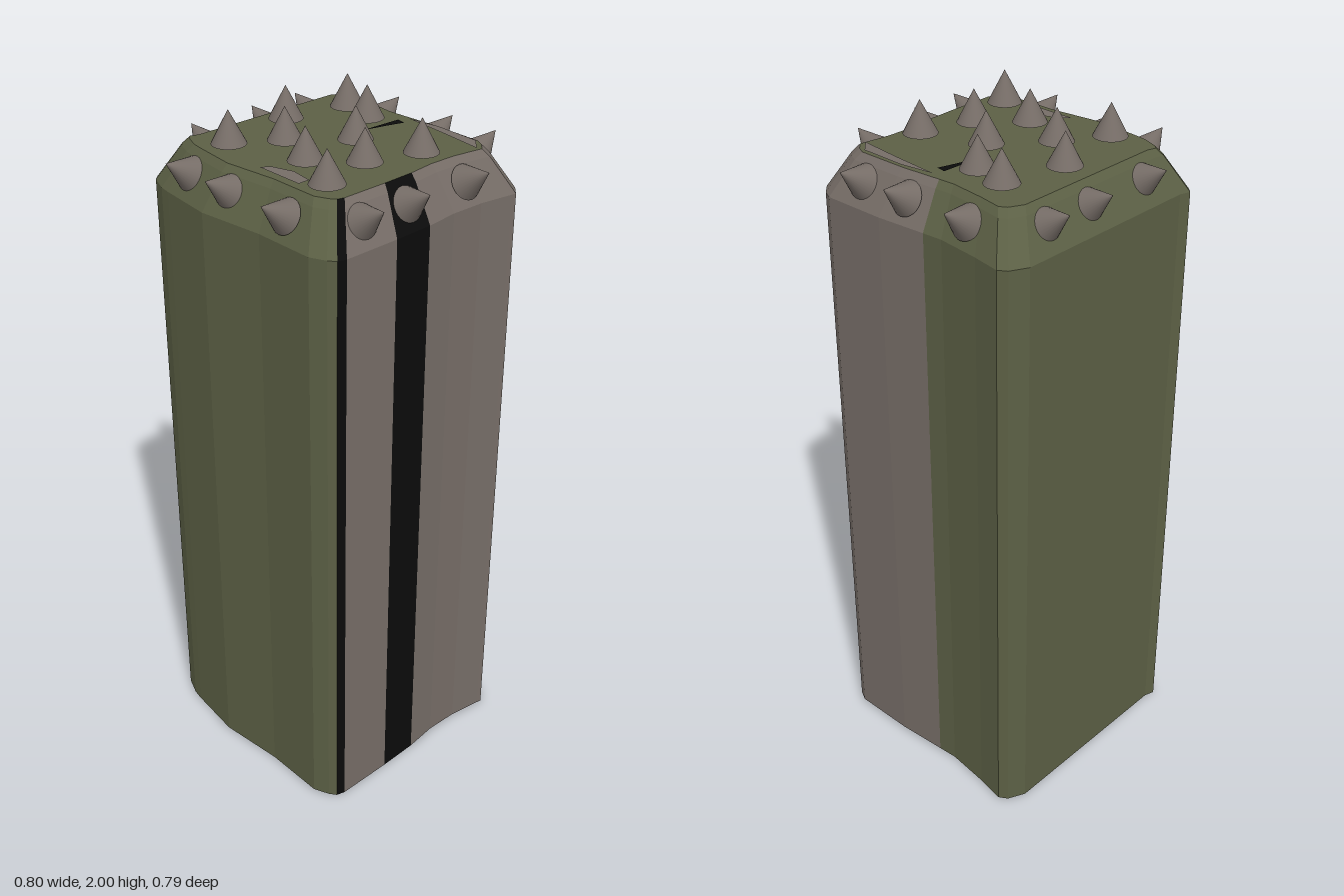
import * as THREE from 'three';

const green = new THREE.MeshStandardMaterial({ name: 'moss green', color: 0x5c6045 });
const grey = new THREE.MeshStandardMaterial({ name: 'warm grey', color: 0x766d67 });
const black = new THREE.MeshStandardMaterial({ name: 'black', color: 0x0b0b0b });

// Outline of the block seen from above, as coloured runs of [x, z]; each run ends where the next starts
const runs = [
  ['backWall', green, [[-0.325, -0.36], [-0.31, -0.375], [-0.28, -0.365], [0.31, -0.365], [0.36, -0.34],
    [0.375, -0.315], [0.36, -0.23], [0.345, -0.1], [0.349, -0.04]]],
  ['rightFrontWall', grey, [[0.349, -0.04], [0.36, 0.11], [0.36, 0.3], [0.345, 0.33], [0.315, 0.36], [0.3, 0.357],
    [0.2, 0.342], [0.1, 0.34], [0, 0.352]]],
  ['wideStripe', black, [[0, 0.352], [-0.12, 0.356]]],
  ['frontPanel', grey, [[-0.12, 0.356], [-0.29, 0.357]]],
  ['cornerStripe', black, [[-0.29, 0.357], [-0.315, 0.35]]],
  ['sideWall', green, [[-0.315, 0.35], [-0.33, 0.33], [-0.35, 0.285], [-0.35, 0.1], [-0.372, -0.1],
    [-0.353, -0.27], [-0.347, -0.305], [-0.325, -0.36]]],
];
const outline = runs.flatMap(([, , pts]) => pts.slice(0, -1));

// Height and inset scale of each ring, from the base to the bevelled rim
const rings = [[0.004, 1], [1.78, 1], [1.88, 0.845], [1.9, 0.8]];

function wall(pts) {
  const v = [];
  for (let r = 0; r < rings.length - 1; r++) {
    for (let i = 0; i < pts.length - 1; i++) {
      const at = (p, [y, s]) => [p[0] * s, y, p[1] * s];
      const a = at(pts[i], rings[r]), b = at(pts[i + 1], rings[r]);
      const A = at(pts[i], rings[r + 1]), B = at(pts[i + 1], rings[r + 1]);
      v.push(...a, ...A, ...B, ...a, ...B, ...b);
    }
  }
  const g = new THREE.BufferGeometry();
  g.setAttribute('position', new THREE.Float32BufferAttribute(v, 3));
  g.computeVertexNormals();
  return g;
}

// Flat horizontal face facing up (dir 1) or down (dir -1)
function face(pts, y, dir) {
  const shape = new THREE.Shape(pts.map(([x, z]) => new THREE.Vector2(x, -z * dir)));
  return new THREE.ShapeGeometry(shape).rotateX(-dir * Math.PI / 2).translate(0, y, 0);
}

export function createModel() {
  const model = new THREE.Group();
  model.name = 'spikedBlock';
  const add = (name, geometry, material) => {
    const m = new THREE.Mesh(geometry, material);
    m.name = name;
    model.add(m);
    return m;
  };

  // Walls with bevel, top and bottom
  for (const [name, mat, pts] of runs) add(name, wall(pts), mat);
  add('top', face(outline.map(([x, z]) => [x * 0.8, z * 0.8]), 1.9, 1), green);
  add('bottom', face(outline, 0.004, -1), green);
  add('bottomPatch', face([...runs[1][2], [0, -0.04]], 0, -1), grey);

  // Worn patches on the top
  const patches = [
    ['rightWear', grey, [[0.268, 0], [0.283, 0.1], [0.28, 0.24], [0.24, 0.28], [0.255, 0.15]]],
    ['leftWear', grey, [[-0.26, 0], [-0.235, 0.02], [-0.215, 0.08], [-0.225, 0.15], [-0.26, 0.15]]],
    ['topMark', black, [[0.11, -0.015], [0.24, -0.01], [0.235, 0.018], [0.18, 0.002]]],
  ];
  for (const [name, mat, pts] of patches) add(name, face(pts, 1.903, 1), mat);

  // Spikes: cone whose base centre sits at base and points along dir
  const cone = new THREE.ConeGeometry(0.048, 0.092, 28).translate(0, 0.046, 0);
  const up = new THREE.Vector3(0, 1, 0);
  function spike(name, base, dir) {
    const m = add(name, cone, grey);
    m.position.set(...base);
    m.quaternion.setFromUnitVectors(up, new THREE.Vector3(...dir).normalize());
  }
  const topSpots = [[-0.22, -0.17], [0.015, -0.215], [0.205, -0.175], [0.18, -0.07], [-0.096, -0.09],
    [-0.153, 0.055], [0.044, 0.03], [-0.05, 0.164], [-0.218, 0.208], [0.105, 0.212]];
  for (const [x, z] of topSpots) spike('topSpike', [x, 1.908, z], [0, 1, 0]);

  // Rim spikes lean out of the bevel on all four sides
  const out = 0.318, y = 1.842, lift = 0.52;
  for (const x of [-0.206, -0.05, 0.162]) spike('frontSpike', [x, y, out], [0, lift, 0.86]);
  for (const x of [-0.17, 0.044, 0.205]) spike('backSpike', [x, y, -out], [0, lift, -0.86]);
  for (const z of [-0.17, 0.04, 0.2]) spike('leftSpike', [out + 0.006, y, z], [0.86, lift, 0]);
  for (const z of [-0.205, -0.043, 0.172]) spike('rightSpike', [-out - 0.004, y, z], [-0.86, lift, 0]);

  return model;
}
